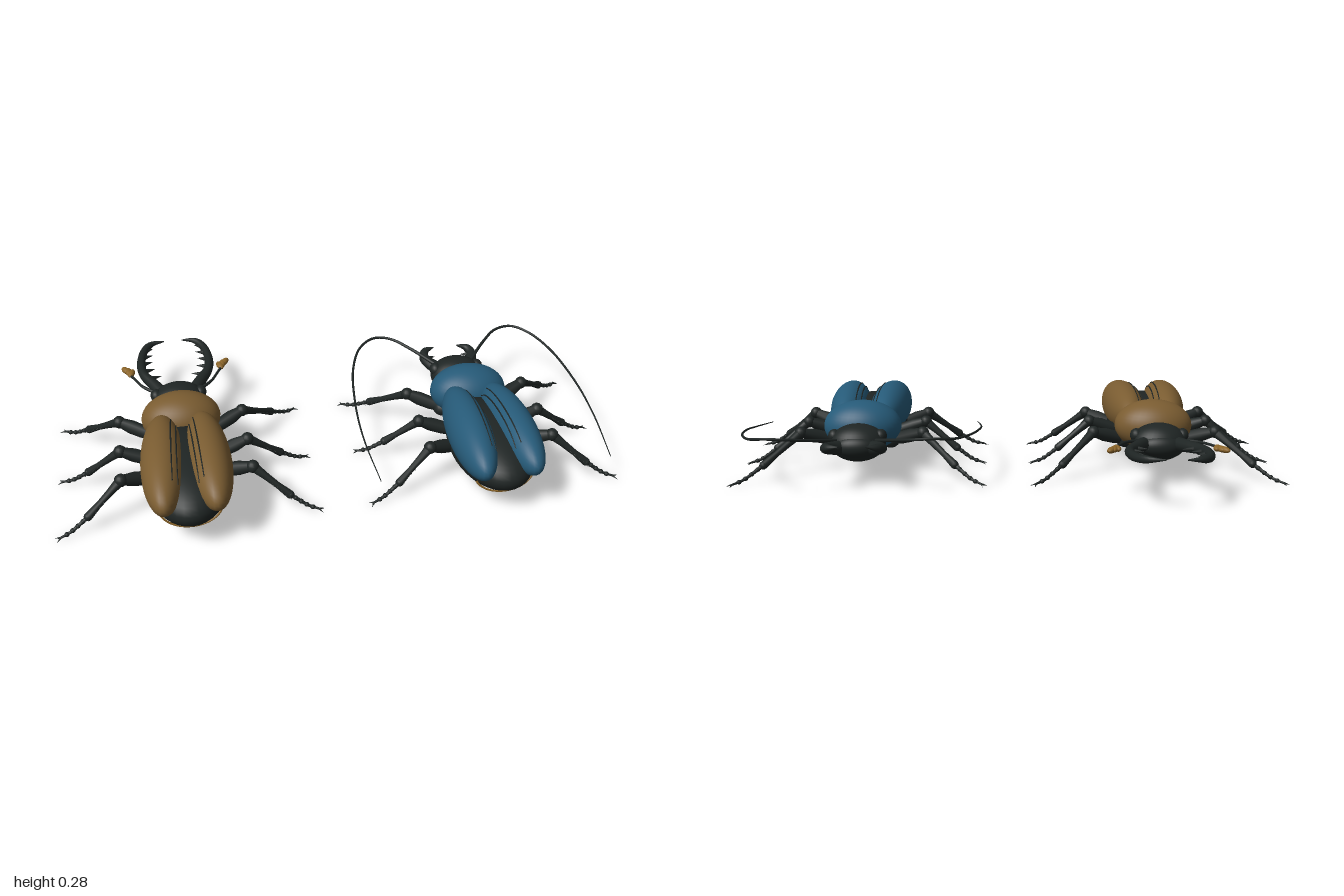
import * as THREE from 'three';

const mat = (color) => new THREE.MeshStandardMaterial({ color });
const shell = mat(0x1f2524), amber = mat(0x8a6429);
const V = (x, y, z) => new THREE.Vector3(x, y, z);

function add(parent, name, geometry, material) {
  const mesh = new THREE.Mesh(geometry, material);
  mesh.name = name;
  parent.add(mesh);
  return mesh;
}

function ellipsoid(parent, name, pos, radii, material, w = 32, h = 20) {
  const mesh = add(parent, name, new THREE.SphereGeometry(1, w, h), material);
  mesh.position.set(...pos);
  mesh.scale.set(...radii);
  return mesh;
}

// Tube along a smooth curve whose radius follows evenly spaced values
function taperTube(parent, name, points, radii, material, seg = 24, sides = 10) {
  const curve = new THREE.CatmullRomCurve3(points);
  const geo = new THREE.TubeGeometry(curve, seg, 1, sides);
  const p = geo.attributes.position, v = V(0, 0, 0);
  for (let i = 0; i < p.count; i++) {
    const u = Math.floor(i / (sides + 1)) / seg;
    const t = u * (radii.length - 1), k = Math.min(Math.floor(t), radii.length - 2);
    const r = THREE.MathUtils.lerp(radii[k], radii[k + 1], t - k);
    const c = curve.getPointAt(u);
    v.fromBufferAttribute(p, i).sub(c).multiplyScalar(r).add(c);
    p.setXYZ(i, v.x, v.y, v.z);
  }
  add(parent, name, geo, material);
  return curve;
}

function spike(parent, name, from, to, r, material = shell) {
  const dir = to.clone().sub(from);
  const mesh = add(parent, name, new THREE.ConeGeometry(r, dir.length(), 8), material);
  mesh.position.copy(from).addScaledVector(dir, 0.5);
  mesh.quaternion.setFromUnitVectors(V(0, 1, 0), dir.normalize());
}

// Hip, knee, ankle and foot tip for the +x side
const LEGS = {
  frontLeg: [[0.1, 0.115, 0.015], [0.225, 0.155, -0.04], [0.345, 0.06, -0.15], [0.442, 0.009, -0.226]],
  middleLeg: [[0.09, 0.11, 0.165], [0.225, 0.157, 0.145], [0.345, 0.06, 0.115], [0.442, 0.009, 0.09]],
  hindLeg: [[0.09, 0.11, 0.25], [0.225, 0.157, 0.31], [0.345, 0.06, 0.365], [0.442, 0.009, 0.398]],
};

function buildLeg(parent, name, s, joints) {
  const leg = new THREE.Group();
  leg.name = name;
  parent.add(leg);
  const [hip, knee, ankle, tip] = joints.map(([x, y, z]) => V(s * x, y, z));
  const mid = (a, b, t) => a.clone().lerp(b, t);
  ellipsoid(leg, 'coxa', hip.toArray(), [0.035, 0.03, 0.035], shell, 16, 10);
  taperTube(leg, 'femur', [hip, mid(hip, knee, 0.5), knee], [0.017, 0.024, 0.025, 0.017], shell, 12);
  ellipsoid(leg, 'knee', knee.toArray(), [0.023, 0.023, 0.023], shell, 14, 10);
  taperTube(leg, 'tibia', [knee, mid(knee, ankle, 0.5), ankle], [0.018, 0.013, 0.011, 0.015], shell, 12);
  ellipsoid(leg, 'ankle', ankle.toArray(), [0.015, 0.015, 0.015], shell, 12, 8);
  // Tarsus of small beads on a thin core
  const bend = mid(ankle, tip, 0.65).add(V(0, -0.008, 0));
  const foot = taperTube(leg, 'tarsus', [ankle, bend, tip], [0.008, 0.006, 0.004], shell, 10, 8);
  for (let i = 1; i < 5; i++) {
    ellipsoid(leg, 'tarsusSegment', foot.getPointAt(i / 5).toArray(), [0.009, 0.008, 0.009], shell, 10, 8);
  }
  // Paired claws and short spines
  const out = tip.clone().sub(ankle).setY(0).normalize();
  const side = V(-out.z, 0, out.x);
  for (const k of [-1, 1]) {
    const end = tip.clone().addScaledVector(out, 0.018).addScaledVector(side, k * 0.014);
    spike(leg, 'claw', tip, end.setY(0.003), 0.004);
  }
  for (let i = 0; i < 5; i++) {
    const a = mid(knee, ankle, 0.5 + i * 0.12);
    const b = a.clone().addScaledVector(out, 0.012).addScaledVector(side, s * 0.022);
    spike(leg, 'legSpine', a, b.add(V(0, -0.01, 0)), 0.003);
  }
}

function buildWingCase(parent, s, color) {
  const wing = new THREE.Group();
  wing.name = s > 0 ? 'leftWingCase' : 'rightWingCase';
  wing.position.set(s * 0.079, 0.19, 0.285);
  wing.rotation.y = s * 0.035;
  parent.add(wing);
  const R = [0.076, 0.091, 0.262];
  ellipsoid(wing, 'wingCaseShell', [0, 0, 0], R, color, 36, 28);
  // Dark ridges lying along the top of the shell
  for (const x of [-0.05, -0.033]) {
    const pts = [];
    for (let i = 0; i <= 10; i++) {
      const z = -0.19 + i * 0.036;
      const y = R[1] * Math.sqrt(Math.max(0, 1 - (x / R[0]) ** 2 - (z / R[2]) ** 2));
      pts.push(V(s * x, y, z));
    }
    taperTube(wing, 'wingRidge', pts, [0.002, 0.003, 0.002], shell, 30, 6);
  }
}

function buildAntlerJaw(parent, s) {
  const P = [[0.06, 0.15, -0.21], [0.09, 0.155, -0.27], [0.125, 0.16, -0.34], [0.132, 0.165, -0.42],
    [0.115, 0.172, -0.5], [0.085, 0.177, -0.538], [0.035, 0.178, -0.549]].map(([x, y, z]) => V(s * x, y, z));
  const jaw = taperTube(parent, 'jaw', P, [0.026, 0.022, 0.018, 0.017, 0.016, 0.014, 0.002], shell, 40, 12);
  // Inner teeth
  [[0.27, 0.055], [0.4, 0.05], [0.52, 0.045], [0.63, 0.045], [0.74, 0.035]].forEach(([u, len]) => {
    const a = jaw.getPointAt(u);
    spike(parent, 'jawTooth', a, a.clone().add(V(-s * len, 0, -0.014)), 0.013);
  });
}

function buildShortJaw(parent, s) {
  const P = [[0.05, 0.14, -0.21], [0.085, 0.148, -0.25], [0.097, 0.156, -0.285],
    [0.085, 0.164, -0.315], [0.048, 0.17, -0.329]].map(([x, y, z]) => V(s * x, y, z));
  const jaw = taperTube(parent, 'jaw', P, [0.026, 0.024, 0.02, 0.015, 0.002], shell, 28, 12);
  const a = jaw.getPointAt(0.5);
  spike(parent, 'jawTooth', a, a.clone().add(V(-s * 0.045, 0, -0.008)), 0.014);
}

function buildClubAntenna(parent, s) {
  const P = [[0.08, 0.16, -0.2], [0.13, 0.165, -0.245], [0.16, 0.168, -0.3], [0.178, 0.168, -0.335]]
    .map(([x, y, z]) => V(s * x, y, z));
  taperTube(parent, 'antenna', P, [0.007, 0.005, 0.005], shell, 20, 8);
  // Leaf-like club plates
  for (let i = 0; i < 3; i++) {
    const leaf = ellipsoid(parent, 'antennaClub', [s * (0.172 + i * 0.01), 0.168, -0.345 - i * 0.012],
      [0.013, 0.011, 0.026], amber, 14, 10);
    leaf.rotation.y = s * (0.25 - i * 0.4);
  }
}

function buildLongAntenna(parent, s) {
  const P = [[0.07, 0.165, -0.21], [0.155, 0.19, -0.31], [0.22, 0.205, -0.367], [0.285, 0.21, -0.375],
    [0.345, 0.2, -0.335], [0.4, 0.185, -0.21], [0.433, 0.158, 0], [0.438, 0.13, 0.18], [0.42, 0.1, 0.4]]
    .map(([x, y, z]) => V(s * x, y, z));
  taperTube(parent, 'antenna', P, [0.007, 0.005, 0.0045, 0.004, 0.003, 0.0015], shell, 64, 8);
}

function buildBeetle(name, x, bodyColor, jaw, antenna) {
  const beetle = new THREE.Group();
  beetle.name = name;
  beetle.position.x = x;
  const color = mat(bodyColor);
  // Body
  ellipsoid(beetle, 'abdomen', [0, 0.138, 0.288], [0.146, 0.1, 0.255], shell, 36, 24);
  ellipsoid(beetle, 'thorax', [0, 0.175, -0.005], [0.143, 0.095, 0.105], color, 36, 24);
  ellipsoid(beetle, 'head', [0, 0.147, -0.16], [0.1, 0.068, 0.08], shell);
  ellipsoid(beetle, 'mouth', [0, 0.143, -0.21], [0.075, 0.04, 0.04], shell);
  // Amber bands under the belly
  for (const [z, tilt] of [[0.13, 0.2], [0.465, -0.2]]) {
    const f = Math.sqrt(1 - ((z - 0.288) / 0.255) ** 2);
    const band = add(beetle, 'bellyBand', new THREE.TorusGeometry(1, 0.04, 8, 40, Math.PI * 0.8), amber);
    band.geometry.rotateZ(Math.PI * 1.1);
    band.position.set(0, 0.138, z);
    band.scale.set(0.147 * f, 0.104 * f, 0.1);
    band.rotation.x = tilt;
  }
  for (const s of [1, -1]) {
    const sideName = s > 0 ? 'left' : 'right';
    buildWingCase(beetle, s, color);
    ellipsoid(beetle, sideName + 'Eye', [s * 0.083, 0.173, -0.165], [0.022, 0.024, 0.026], shell, 18, 12);
    jaw(beetle, s);
    antenna(beetle, s);
    for (const [legName, joints] of Object.entries(LEGS)) buildLeg(beetle, legName, s, joints);
  }
  return beetle;
}

export function createModel() {
  const model = new THREE.Group();
  model.name = 'beetlePair';
  model.add(buildBeetle('antleredBeetle', -0.54, 0x7a5c31, buildAntlerJaw, buildClubAntenna));
  model.add(buildBeetle('longhornBeetle', 0.54, 0x265a78, buildShortJaw, buildLongAntenna));
  return model;
}
